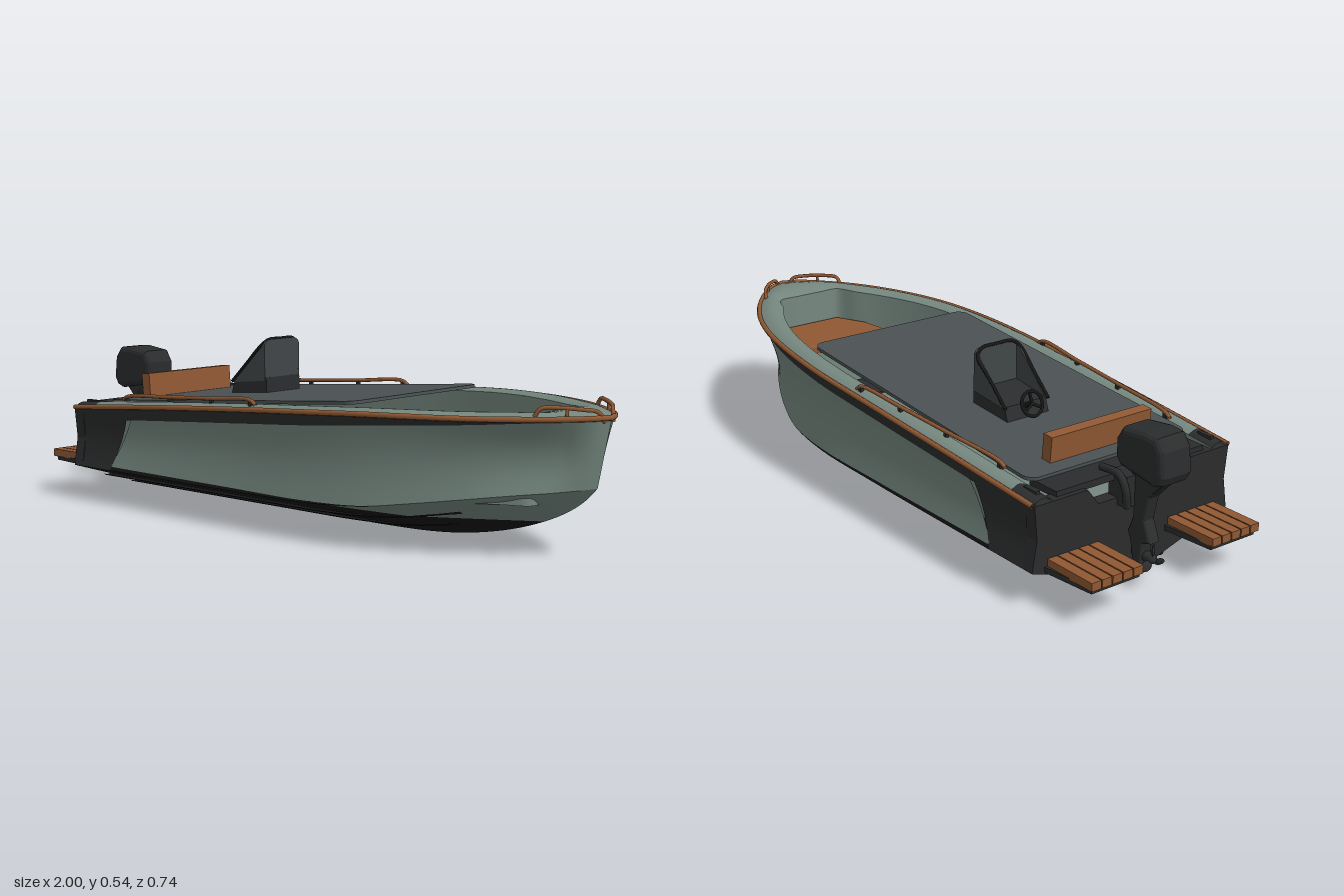
import * as THREE from 'three';

const V = (x, y, z) => new THREE.Vector3(x, y, z);
const mat = (name, color) => {
  const m = new THREE.MeshStandardMaterial({ color, side: THREE.DoubleSide });
  m.name = name;
  return m;
};
const hullGreen = mat('hull green', 0x75877f);
const charcoal = mat('charcoal', 0x2b2c2d);
const bottomBlack = mat('bottom black', 0x161616);
const wood = mat('wood', 0x8f5833);
const slate = mat('slate cover', 0x4b5153);
const screenGrey = mat('screen grey', 0x414648);

// Long lines of the hull on eleven shared stations, stern to bow
const line = (xs, ys, zs) => {
  const c = new THREE.CatmullRomCurve3(xs.map((x, i) => V(x, ys[i], zs[i])), false, 'centripetal');
  return u => c.getPoint(Math.min(1, Math.max(0, u)));
};
const sheer = line(
  [-.82, -.5, -.1, .2, .4, .55, .7, .82, .91, .965, .99],
  [.3, .327, .357, .376, .386, .39, .392, .394, .395, .396, .396],
  [.352, .358, .363, .362, .343, .312, .257, .188, .115, .055, 0]);
const chine = line(
  [-.82, -.5, -.1, .2, .39, .53, .67, .78, .87, .925, .95],
  [.11, .112, .114, .116, .126, .145, .165, .18, .19, .197, .2],
  [.355, .357, .357, .35, .325, .28, .215, .15, .085, .035, 0]);
const keel = line(
  [-.82, -.5, -.1, .2, .39, .52, .65, .76, .85, .91, .95],
  [0, 0, 0, 0, .006, .02, .046, .08, .12, .16, .2],
  Array(11).fill(0));
const inner = line(
  [-.82, -.5, -.1, .2, .39, .52, .65, .74, .81, .81, .81],
  [.304, .331, .361, .38, .39, .394, .396, .398, .399, .4, .4],
  [.29, .295, .298, .295, .275, .245, .195, .145, .11, .05, 0]);

const lerp = THREE.MathUtils.lerp;
const clamp = THREE.MathUtils.clamp;
const FLOOR = .15, SEAT = .275;

// Points on the concave topsides and on the V bottom
const topside = (u, v) => {
  const p = chine(u).lerp(sheer(u), v);
  const hollow = (.014 + .02 * Math.exp(-(((u - .72) / .15) ** 2))) * Math.min(1, p.z / .1);
  p.z -= hollow * Math.sin(Math.PI * v);
  return p;
};
const bottom = (u, w) => keel(u).lerp(chine(u), w);
const sternEdge = v => .055 + .03 * v;
const stripTop = u => .07 * Math.max(0, 1 - u / .42);
const bandBottom = u => 1 - (.04 * Math.max(0, 1 - u / .85) + .004) / .2;
const paintEdge = u => {
  const limit = lerp(.13, .088, clamp((u - .3) / .14, 0, 1));
  const k = keel(u).y, c = chine(u).y;
  return c - k < 1e-4 ? 0 : clamp((limit - k) / (c - k), 0, 1);
};

function grid(fn, nu, nv, side) {
  const pos = [], idx = [];
  for (let i = 0; i <= nu; i++) for (let j = 0; j <= nv; j++) {
    const p = fn(i / nu, j / nv);
    pos.push(p.x, p.y, p.z * side);
    if (i < nu && j < nv) {
      const a = i * (nv + 1) + j, b = a + nv + 1;
      if (side > 0) idx.push(a, b, a + 1, b, b + 1, a + 1);
      else idx.push(a, a + 1, b, b, a + 1, b + 1);
    }
  }
  const g = new THREE.BufferGeometry();
  g.setAttribute('position', new THREE.Float32BufferAttribute(pos, 3));
  g.setIndex(idx);
  g.computeVertexNormals();
  return g;
}

export function createModel() {
  const boat = new THREE.Group();
  boat.name = 'motorboat';
  const add = (name, geo, m, x = 0, y = 0, z = 0) => {
    const mesh = new THREE.Mesh(geo, m);
    mesh.name = name;
    mesh.position.set(x, y, z);
    boat.add(mesh);
    return mesh;
  };
  const box = (name, m, w, h, d, x, y, z) => add(name, new THREE.BoxGeometry(w, h, d), m, x, y, z);
  const both = (name, m, fn, nu = 60, nv = 8) => [1, -1].forEach(s => add(name, grid(fn, nu, nv, s), m));
  const tube = (name, m, pts, r, n = 40) =>
    add(name, new THREE.TubeGeometry(new THREE.CatmullRomCurve3(pts, false, 'centripetal'), n, r, 8), m);
  const shape = pts => new THREE.Shape(pts.map(p => new THREE.Vector2(...p)));
  const extrude = (s, depth, bevel = 0) => new THREE.ExtrudeGeometry(s, {
    depth, curveSegments: 8, bevelEnabled: bevel > 0, bevelSize: bevel, bevelThickness: bevel,
    bevelOffset: -bevel, bevelSegments: 3 });
  const rounded = (x0, x1, y0, y1, r) => {
    const s = new THREE.Shape();
    s.absarc(x1 - r, y1 - r, r, 0, Math.PI / 2);
    s.absarc(x0 + r, y1 - r, r, Math.PI / 2, Math.PI);
    s.absarc(x0 + r, y0 + r, r, Math.PI, Math.PI * 1.5);
    s.absarc(x1 - r, y0 + r, r, Math.PI * 1.5, Math.PI * 2);
    return s;
  };
  // Horizontal slab from an x,z outline, with its top at height y
  const slab = (name, m, s, y, t, bevel = 0) =>
    add(name, extrude(s, t - 2 * bevel, bevel).rotateX(Math.PI / 2), m, 0, y - bevel, 0);

  // Hull skin
  both('hullBottom', bottomBlack, (u, w) => bottom(u, w * paintEdge(u)), 80, 6);
  both('hullForefoot', hullGreen, (a, w) => { const u = lerp(.3, 1, a); return bottom(u, lerp(paintEdge(u), 1, w)); }, 60, 6);
  both('sternQuarter', charcoal, (a, v) => topside(a * sternEdge(v), v), 6, 10);
  both('chineStrip', bottomBlack, (a, b) => { const u = lerp(.055, .42, a); return topside(u, b * stripTop(u)); }, 30, 2);
  both('hullSide', hullGreen, (a, b) => {
    const u0 = lerp(sternEdge(b), 1, a);
    return topside(u0, lerp(stripTop(u0), bandBottom(u0), b));
  }, 80, 14);
  both('sheerBand', charcoal, (a, b) => { const u = lerp(.08, 1, a); return topside(u, lerp(bandBottom(u), 1, b)); }, 70, 2);

  // Spray strakes under the hull
  for (const w of [.28, .6]) both('sprayStrake', bottomBlack, (a, b) => {
    const u = a * .56, t = b * .07;
    const p = bottom(u, w + t);
    p.y -= .01 * Math.sin(Math.PI * Math.min(1, b * .75)) * (1 - a ** 4);
    return p;
  }, 40, 4);

  // Gunwale, foredeck and cockpit liner
  const deck = (u, v) => {
    const p = sheer(u).lerp(inner(u), v);
    p.y += .012 * Math.sin(Math.PI * v);
    return p;
  };
  both('sternCap', charcoal, (a, v) => deck(a * .03, v), 3, 6);
  both('gunwale', hullGreen, (a, v) => deck(lerp(.03, 1, a), v), 80, 8);
  both('cockpitWall', hullGreen, (u, v) => { const p = inner(u); p.y = lerp(p.y, FLOOR, v); return p; }, 70, 3);
  both('cockpitFloor', hullGreen, (u, v) => { const p = inner(u); p.y = FLOOR; p.z *= 1 - v; return p; }, 70, 2);
  box('floorMat', charcoal, .14, .006, .26, .49, FLOOR + .004, 0);

  // Bow seating
  const benchEdge = p => Math.min(.18, p.z * .88);
  both('sideBench', wood, (a, v) => {
    const p = inner(lerp(.3, .8, a));
    return V(p.x, SEAT, lerp(p.z, benchEdge(p), v));
  }, 30, 2);
  both('benchFront', hullGreen, (a, v) => {
    const p = inner(lerp(.3, .8, a));
    return V(p.x, lerp(SEAT, FLOOR, v), benchEdge(p));
  }, 30, 1);
  const seatOutline = shape([[.585, -.14], [.62, -.165], [.7, -.155], [.805, -.105],
    [.805, .105], [.7, .155], [.62, .165], [.585, .14], [.57, .07], [.57, -.07]]);
  slab('bowSeatBase', hullGreen, seatOutline, SEAT, SEAT - FLOOR);
  slab('bowCushion', wood, seatOutline, SEAT + .025, .03, .007);

  // Rub rail, grab rails and bow rails
  const us = Array.from({ length: 31 }, (_, i) => i / 30);
  const edge = us.map(u => sheer(u));
  tube('rubRail', wood, [...edge, ...edge.slice(0, -1).reverse().map(p => V(p.x, p.y, -p.z))], .008, 160);
  for (const s of [1, -1]) {
    const rail = [[-.64, .333, .3], [-.62, .345, .302], [-.4, .363, .317], [-.2, .377, .33], [-.02, .388, .343], [0, .375, .344]];
    tube('grabRail', wood, rail.map(p => V(p[0], p[1], p[2] * s)), .006);
    for (const [x, y, z] of rail.slice(1, 5)) box('grabRailPost', charcoal, .012, .024, .01, x, y - .012, z * s);
    tube('bowRail', wood, [[.845, .4, .148], [.86, .422, .142], [.9, .425, .11], [.945, .42, .07],
      [.97, .412, .035], [.982, .385, .02]].map(p => V(p[0], p[1], p[2] * s)), .006);
    tube('bowRailPost', wood, [V(.915, .4, .1 * s), V(.915, .424, .098 * s)], .005, 4);
    box('sternCleat', charcoal, .05, .012, .014, -.77, .318, .315 * s);
    const vent = box('hullVent', bottomBlack, .045, .008, .008, .66, .21, (topside(.676, .2).z + .001) * s);
    vent.rotation.y = .45 * s;

    // Swim platform: dark base under five planks
    slab('platformBase', charcoal, shape([[-.8, .115 * s], [-.99, .13 * s], [-.99, .295 * s], [-.8, .315 * s]]), .118, .016);
    for (let i = 0; i < 5; i++)
      box('platformPlank', wood, .2, .024, .032, -.9, .127, (.143 + i * .036) * s);
  }

  // Transom with motor notch, and aft deck
  const half = [[.355, .11], [.34, .2], [.35, .3], [.17, .3], [.13, .25]];
  const transom = shape([[0, 0], ...half, ...half.map(([z, y]) => [-z, y]).reverse()]);
  add('transom', extrude(transom, .04).rotateY(Math.PI / 2), charcoal, -.825, 0, 0);
  box('aftDeck', charcoal, .11, .02, .53, -.755, .305, 0);

  // Sloping cockpit cover
  const cover = slab('cockpitCover', slate, rounded(-.53, .53, -.288, .288, .035), 0, .01);
  cover.position.set(-.2, .368, 0);
  cover.rotation.z = .08;

  // Aft backrest
  const back = box('backrest', wood, .035, .08, .36, -.667, .366, 0);
  back.rotation.z = .08;

  // Helm console, wraparound screen and wheel
  const cz = -.045;
  const consoleSide = shape([[-.425, .345], [-.265, .352], [-.268, .41], [-.41, .39]]);
  add('console', extrude(consoleSide, .15), charcoal, 0, 0, cz - .075);
  const front = rounded(-.078, .078, .395, .528, .022);
  add('windscreen', extrude(front, .008).rotateY(Math.PI / 2), screenGrey, -.279, 0, cz);
  const wing = shape([[-.415, .385], [-.27, .4], [-.274, .515], [-.285, .515]]);
  for (const s of [1, -1]) {
    add('screenWing', extrude(wing, .006), screenGrey, 0, 0, cz + s * .075 - .003);
    tube('screenFrame', bottomBlack, [V(-.418, .388, cz + s * .078), V(-.35, .452, cz + s * .078),
      V(-.288, .51, cz + s * .078), V(-.278, .528, cz + s * .055), V(-.276, .53, cz)], .005, 24);
  }
  const wheel = add('steeringWheel', new THREE.TorusGeometry(.036, .005, 8, 24).rotateY(Math.PI / 2), bottomBlack, -.44, .395, cz);
  wheel.rotation.z = -.4;
  for (let i = 0; i < 3; i++) {
    const spoke = new THREE.BoxGeometry(.005, .036, .008).translate(0, .018, 0).rotateX(i * Math.PI * 2 / 3);
    add('wheelSpoke', spoke, bottomBlack, -.44, .395, cz).rotation.z = -.4;
  }
  tube('steeringColumn', bottomBlack, [V(-.44, .395, cz), V(-.4, .375, cz)], .007, 4);

  // Outboard motor
  const mz = -.015;
  const cowl = shape([[-.998, .36], [-.99, .43], [-.965, .464], [-.92, .468], [-.835, .457], [-.812, .42],
    [-.812, .37], [-.83, .345], [-.96, .325], [-.985, .335]]);
  add('motorCowl', extrude(cowl, .075, .018), charcoal, 0, 0, mz - .0375);
  const leg = shape([[-.975, .335], [-.835, .35], [-.85, .29], [-.855, .2], [-.835, .15], [-.845, .13],
    [-.86, .06], [-.89, .04], [-.895, .13], [-.925, .14], [-.9, .2], [-.915, .27]]);
  add('motorLeg', extrude(leg, .024, .008), charcoal, 0, 0, mz - .012);
  box('motorBracket', charcoal, .07, .09, .1, -.825, .275, mz);
  for (const s of [1, -1])
    tube('bracketArm', charcoal, [V(-.77, .325, mz + s * .06), V(-.84, .325, mz + s * .06),
      V(-.86, .29, mz + s * .055), V(-.855, .23, mz + s * .04)], .011, 16);
  const pod = new THREE.CapsuleGeometry(.015, .06, 6, 12).rotateZ(Math.PI / 2);
  add('gearCase', pod, charcoal, -.885, .09, mz);
  for (let i = 0; i < 3; i++) {
    const blade = new THREE.SphereGeometry(1, 10, 8).scale(.004, .018, .014).rotateY(.6)
      .translate(0, .027, 0).rotateX(i * Math.PI * 2 / 3);
    add('propellerBlade', blade, charcoal, -.92, .09, mz);
  }
  return boat;
}
